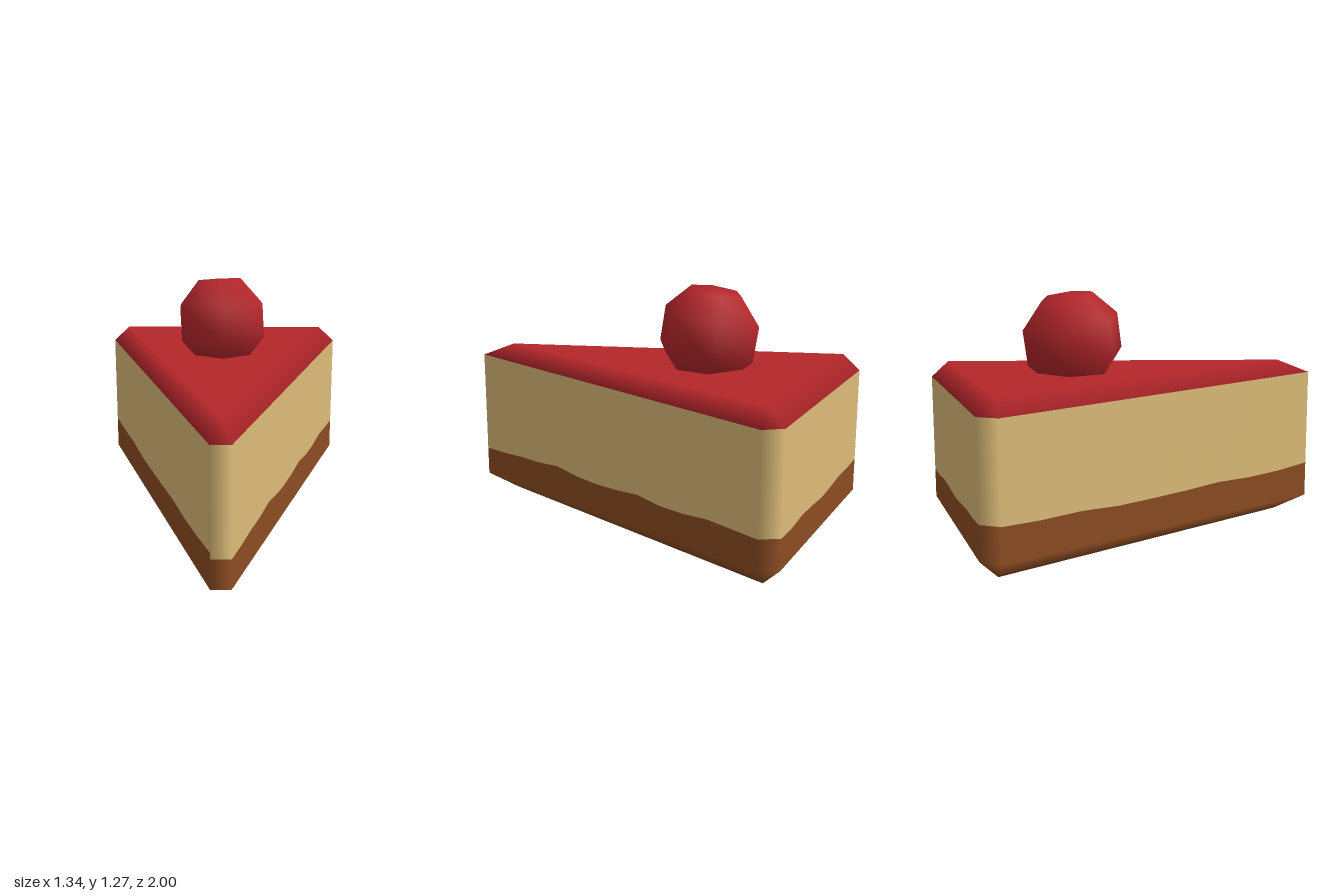
import * as THREE from 'three';

const red = new THREE.MeshStandardMaterial({ color: 0xb4262a });
red.name = 'cherryRed';
const cream = new THREE.MeshStandardMaterial({ color: 0xdcbb78 });
cream.name = 'cream';
const brown = new THREE.MeshStandardMaterial({ color: 0x8c4c22 });
brown.name = 'crustBrown';

const UP = [0, 1, 0], DOWN = [0, -1, 0];
const lerp = (a, b, t) => a.map((v, i) => v + (b[i] - v) * t);

// Long walls, counter-clockwise from above: outer ends, inset corners, normal, crust height
const walls = [
  { a: [0.05, 1], b: [0.67, -0.91], ia: [0, 0.83], ib: [0.58, -0.91], n: [0.951, 0, 0.309],
    wave: [0.23, 0.235, 0.246, 0.25, 0.266, 0.248, 0.243, 0.25, 0.265, 0.248, 0.25, 0.265, 0.26, 0.255] },
  { a: [0.6, -1], b: [-0.6, -1], ia: [0.58, -0.91], ib: [-0.58, -0.91], n: [0, 0, -1],
    wave: [0.25, 0.248, 0.26, 0.255, 0.245, 0.252, 0.265, 0.262, 0.27] },
  { a: [-0.67, -0.91], b: [-0.05, 1], ia: [-0.58, -0.91], ib: [0, 0.83], n: [-0.951, 0, 0.309],
    wave: [0.27, 0.262, 0.264, 0.25, 0.25, 0.253, 0.26, 0.25, 0.252, 0.265] },
];

// Perimeter segments: each wall, then the narrow corner strip to the next wall
const segments = [];
walls.forEach((w, k) => {
  const next = walls[(k + 1) % 3], steps = w.wave.length - 1;
  const samples = w.wave.map((y, i) => ({
    outer: lerp(w.a, w.b, i / steps), inner: lerp(w.ia, w.ib, i / steps), n: w.n, wave: y,
  }));
  for (let i = 0; i < steps; i++) segments.push([samples[i], samples[i + 1]]);
  const end = { ...samples[steps], wave: k === 2 ? 0.23 : w.wave[steps] };
  segments.push([end, { outer: next.a, inner: next.ia, n: next.n, wave: next.wave[0] }]);
});

// Levels of the slice; the bevels are slightly deeper at the back than at the tip
const level = {
  bottom: (s) => [s.inner[0], 0, s.inner[1], DOWN],
  low: (s) => [s.outer[0], 0.082 - 0.007 * s.outer[1], s.outer[1], s.n],
  wave: (s) => [s.outer[0], s.wave, s.outer[1], s.n],
  high: (s) => [s.outer[0], 0.782 + 0.007 * s.outer[1], s.outer[1], s.n],
  top: (s) => [s.inner[0], 0.86, s.inner[1], UP],
};

// Bands between successive levels, with an optional flat triangular face
function layer(name, levels, material, cap) {
  const pos = [], nor = [];
  const add = (...points) => points.forEach(([x, y, z, n]) => {
    pos.push(x, y, z);
    nor.push(...n);
  });
  for (const [s, t] of segments) {
    for (let i = 0; i < levels.length - 1; i++) {
      const lo = level[levels[i]], hi = level[levels[i + 1]];
      add(lo(s), lo(t), hi(t), lo(s), hi(t), hi(s));
    }
  }
  if (cap) {
    const corners = walls.map((w) => level[cap]({ inner: w.ia }));
    add(...(cap === 'top' ? corners : corners.reverse()));
  }
  const geo = new THREE.BufferGeometry();
  geo.setAttribute('position', new THREE.Float32BufferAttribute(pos, 3));
  geo.setAttribute('normal', new THREE.Float32BufferAttribute(nor, 3));
  const mesh = new THREE.Mesh(geo, material);
  mesh.name = name;
  return mesh;
}

// Six-sided cherry with flat ends and round shading
function cherry() {
  const profile = [[0, -0.226], [0.136, -0.226], [0.259, -0.093], [0.259, 0.093], [0.136, 0.226], [0, 0.228]];
  const geo = new THREE.LatheGeometry(profile.map(([r, y]) => new THREE.Vector2(r, y)), 6);
  const p = geo.attributes.position, v = new THREE.Vector3();
  for (let i = 0; i < p.count; i++) {
    v.fromBufferAttribute(p, i).normalize();
    geo.attributes.normal.setXYZ(i, v.x, v.y, v.z);
  }
  const mesh = new THREE.Mesh(geo, red);
  mesh.name = 'cherry';
  mesh.position.set(-0.008, 1.03, -0.362);
  mesh.rotation.set(-0.145, 0.03, 0.05);
  return mesh;
}

export function createModel() {
  const group = new THREE.Group();
  group.name = 'cakeSlice';
  group.add(
    layer('crust', ['bottom', 'low', 'wave'], brown, 'bottom'),
    layer('filling', ['wave', 'high'], cream),
    layer('frosting', ['high', 'top'], red, 'top'),
    cherry(),
  );
  return group;
}
